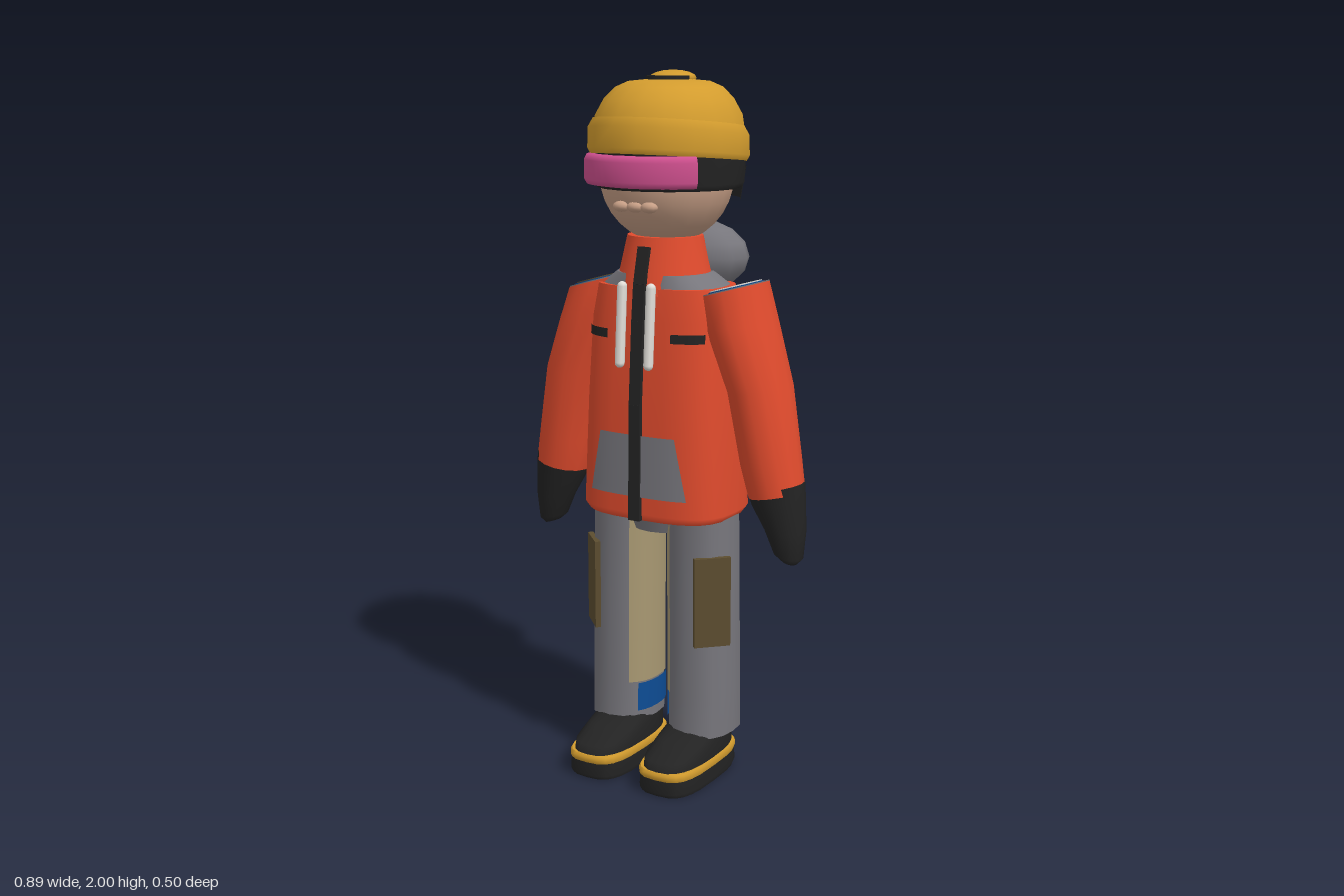
import * as THREE from 'three';

const mat = (name, color) => Object.assign(new THREE.MeshStandardMaterial({ color }), { name });

// Stacks elliptical rings, listed upward: { y, cx, cz, rx, rz, kx, kz } (kx, kz tilt the ring).
// e < 1 makes the outline boxier; arc = [start, length] makes an open patch.
function loft(rings, { n = 16, e = 1, arc = null } = {}) {
  const pos = [], idx = [];
  const cols = arc ? n + 1 : n;
  const pw = (v) => Math.sign(v) * Math.abs(v) ** e;
  const addRing = ({ y, cx = 0, cz = 0, rx, rz = rx, kx = 0, kz = 0 }) => {
    const first = pos.length / 3;
    for (let i = 0; i < cols; i++) {
      const a = arc ? arc[0] + (arc[1] * i) / n : (i / n) * Math.PI * 2;
      const dx = rx * pw(Math.cos(a)), dz = rz * pw(Math.sin(a));
      pos.push(cx + dx, y + kx * dx + kz * dz, cz + dz);
    }
    return first;
  };
  const starts = rings.map(addRing);
  for (let r = 0; r < starts.length - 1; r++) {
    for (let i = 0; i < n; i++) {
      const j = (i + 1) % cols, a = starts[r], b = starts[r + 1];
      idx.push(a + i, b + i, a + j, a + j, b + i, b + j);
    }
  }
  // Flat ends with their own vertices, so the rims stay sharp
  if (!arc) {
    for (const [ring, up] of [[rings[0], false], [rings.at(-1), true]]) {
      const s = addRing(ring), c = s + n;
      pos.push(ring.cx ?? 0, ring.y, ring.cz ?? 0);
      for (let i = 0; i < n; i++) {
        const j = (i + 1) % n;
        idx.push(c, up ? s + j : s + i, up ? s + i : s + j);
      }
    }
  }
  const g = new THREE.BufferGeometry();
  g.setAttribute('position', new THREE.Float32BufferAttribute(pos, 3));
  g.setIndex(idx);
  g.computeVertexNormals();
  return g;
}

const ring = (y, rx, rz, cx = 0, cz = 0, kx = 0, kz = 0) => ({ y, rx, rz, cx, cz, kx, kz });

const JACKET_E = 0.65;
const jacketRings = [
  ring(0.77, 0.215, 0.155, 0, -0.005), ring(0.79, 0.23, 0.164, 0, -0.005),
  ring(1.1, 0.215, 0.16, 0, -0.006), ring(1.33, 0.205, 0.15, 0, -0.012), ring(1.42, 0.19, 0.132, 0, -0.008),
];

// Depth of the jacket front at a given x and y
function jacketFront(x, y) {
  let i = 1;
  while (i < jacketRings.length - 2 && y > jacketRings[i + 1].y) i++;
  const a = jacketRings[i], b = jacketRings[i + 1];
  const t = THREE.MathUtils.clamp((y - a.y) / (b.y - a.y), 0, 1);
  const mix = (k) => THREE.MathUtils.lerp(a[k], b[k], t);
  const u = Math.min(1, Math.abs(x) / mix('rx'));
  return mix('cz') + mix('rz') * (1 - u ** (2 / JACKET_E)) ** (JACKET_E / 2);
}

// Thin patch that follows the jacket front; its half width goes from wBottom to wTop
function jacketPatch(cx, wBottom, wTop, y0, y1) {
  const g = new THREE.PlaneGeometry(2, 1, 14, 8);
  const p = g.attributes.position;
  for (let i = 0; i < p.count; i++) {
    const t = p.getY(i) + 0.5;
    const x = cx + p.getX(i) * THREE.MathUtils.lerp(wBottom, wTop, t);
    const y = THREE.MathUtils.lerp(y0, y1, t);
    p.setXYZ(i, x, y, jacketFront(x, y) + 0.006);
  }
  g.computeVertexNormals();
  return g;
}

export function createModel() {
  const red = mat('jacketRed', 0xe04b2d), grey = mat('fabricGrey', 0x77767c);
  const black = mat('black', 0x232323), gold = mat('gold', 0xd39c2e);
  const pink = mat('lensPink', 0xd0508f), skin = mat('skin', 0xc79f86);
  const white = mat('white', 0xe2dfd9), olive = mat('olive', 0x5c4d30);
  const tan = mat('tan', 0xa89872), blue = mat('blue', 0x0d4c94);
  for (const m of [red, grey, black, pink, tan, blue, white, olive]) m.side = THREE.DoubleSide;

  const model = new THREE.Group();
  model.name = 'skier';
  const add = (name, geo, material, x = 0, y = 0, z = 0) => {
    const m = new THREE.Mesh(geo, material);
    m.name = name;
    m.position.set(x, y, z);
    model.add(m);
    return m;
  };
  const ball = (name, material, x, y, z, rx, ry, rz, w = 16, h = 12) => {
    const m = add(name, new THREE.SphereGeometry(1, w, h), material, x, y, z);
    m.scale.set(rx, ry, rz);
    return m;
  };
  // Bar between two points
  const bar = (name, material, a, b, w, d) => {
    const p = new THREE.Vector3(...a), q = new THREE.Vector3(...b);
    const m = add(name, new THREE.BoxGeometry(w, p.distanceTo(q), d), material);
    m.position.copy(p).lerp(q, 0.5);
    m.quaternion.setFromUnitVectors(new THREE.Vector3(0, 1, 0), q.sub(p).normalize());
    return m;
  };

  // Head and mouth
  ball('head', skin, 0, 1.72, -0.01, 0.188, 0.19, 0.185, 20, 16);
  for (const x of [-0.044, 0, 0.044]) ball('mouth', skin, x, 1.642, 0.155, 0.026, 0.015, 0.018, 10, 8);

  // Helmet
  const hz = -0.02;
  add('helmetLiner', loft([ring(1.685, 0.2, 0.195, 0, hz), ring(1.7, 0.21, 0.208, 0, hz), ring(1.8, 0.214, 0.222, 0, hz)], { n: 18 }), black);
  add('helmetNape', loft([ring(1.65, 0.19, 0.222, 0, hz), ring(1.74, 0.208, 0.228, 0, hz)], { n: 14, arc: [Math.PI * 1.13, Math.PI * 0.74] }), black);
  add('helmetBand', loft([
    ring(1.765, 0.214, 0.226, 0, hz, 0, 0.09), ring(1.78, 0.222, 0.234, 0, hz, 0, 0.09),
    ring(1.835, 0.22, 0.232, 0, hz, 0, 0.1), ring(1.86, 0.206, 0.218, 0, hz, 0, 0.1),
  ], { n: 18 }), gold);
  add('helmetDome', loft([
    ring(1.83, 0.208, 0.222, 0, hz), ring(1.88, 0.2, 0.214, 0, hz), ring(1.925, 0.175, 0.188, 0, hz),
    ring(1.955, 0.145, 0.155, 0, hz), ring(1.97, 0.11, 0.12, 0, hz), ring(1.976, 0.05, 0.05, 0, hz),
  ], { n: 18 }), gold);
  add('topVent', new THREE.CylinderGeometry(0.062, 0.064, 0.02, 12), black, 0, 1.975, -0.017);
  ball('topButton', gold, 0, 1.978, -0.04, 0.065, 0.022, 0.065, 10, 8);

  // Goggles: a wrapped lens with rounded rims
  const lens = [[0.2, 1.692], [0.228, 1.696], [0.236, 1.71], [0.236, 1.762], [0.228, 1.778], [0.2, 1.782]];
  add('goggleLens', new THREE.LatheGeometry(lens.map((p) => new THREE.Vector2(...p)), 16, -0.87, 1.74), pink, 0, 0, hz);

  // Jacket body, shoulder yoke, collar and hood
  add('jacket', loft(jacketRings, { n: 28, e: JACKET_E }), red);
  add('shoulderYoke', loft([ring(1.415, 0.188, 0.13, 0, -0.008), ring(1.455, 0.13, 0.118)], { n: 24, e: 0.8 }), grey);
  add('collar', loft([ring(1.4, 0.15, 0.135, 0, 0), ring(1.46, 0.128, 0.125), ring(1.555, 0.108, 0.1)], { n: 20 }), red);
  ball('hood', grey, 0, 1.485, -0.135, 0.185, 0.108, 0.108, 14, 8);

  // Jacket front details
  add('frontPocket', jacketPatch(0, 0.155, 0.12, 0.84, 1.015), grey);
  const zip = [[0.772, 0.163], [1.1, 0.157], [1.33, 0.142], [1.43, 0.132], [1.53, 0.108]];
  for (let i = 0; i < zip.length - 1; i++) {
    bar('zipper', black, [0, ...zip[i]], [0, ...zip[i + 1]], 0.036, 0.016);
  }

  for (const s of [1, -1]) {
    add('chestPocket', jacketPatch(s * 0.143, 0.042, 0.042, 1.277, 1.302), black);
    const cord = add('drawstring', new THREE.CapsuleGeometry(0.014, 0.21, 4, 8), white, s * 0.046, 1.32, 0.158);
    cord.rotation.x = -0.07;

    // Sleeve; both open tops lean the same way
    const topRing = ring(1.415, 0.104, 0.1, s * 0.207, -0.008, 0.28);
    add('sleeve', loft([
      ring(0.86, 0.078, 0.078, s * 0.357, -0.005, s * 0.2), ring(0.95, 0.083, 0.09, s * 0.337, -0.006, s * 0.2),
      ring(1.15, 0.086, 0.108, s * 0.3, -0.008, s * 0.15), ring(1.32, 0.096, 0.118, s * 0.24, -0.01, 0.15), topRing,
    ], { n: 14 }), red);
    const cap = (name, dy, k, m) => add(name, loft([
      { ...topRing, y: 1.415 + dy, rx: 0.104 * k, rz: 0.1 * k },
      { ...topRing, y: 1.418 + dy, rx: 0.104 * k, rz: 0.1 * k }], { n: 14 }), m);
    cap('shoulderTop', 0, 0.99, grey);
    cap('shoulderTrim', 0.003, 0.84, blue);
    cap('shoulderPatch', 0.006, 0.79, s > 0 ? white : olive);

    // Mitten
    add('mitten', loft([
      ring(0.672, 0.022, 0.025, s * 0.398, -0.005, -s * 0.3), ring(0.69, 0.042, 0.042, s * 0.395, -0.005, -s * 0.2),
      ring(0.76, 0.058, 0.058, s * 0.385, -0.005), ring(0.84, 0.075, 0.073, s * 0.363, -0.005, s * 0.2),
      ring(0.882, 0.08, 0.079, s * 0.354, -0.005, s * 0.2),
    ], { n: 14 }), black);

    // Trouser leg with tan inner panel, ankle accent and thigh pocket
    add('trouserLeg', loft([
      ring(0.13, 0.096, 0.112, s * 0.13, -0.008), ring(0.25, 0.097, 0.108, s * 0.13, -0.006),
      ring(0.5, 0.096, 0.106, s * 0.128, -0.006), ring(0.79, 0.094, 0.105, s * 0.125, -0.006),
    ], { n: 16, e: 0.85 }), grey);
    const inner = s > 0 ? Math.PI : 0;
    add('innerLegPanel', loft([
      ring(0.25, 0.101, 0.112, s * 0.13, -0.006), ring(0.5, 0.1, 0.11, s * 0.128, -0.006),
      ring(0.77, 0.098, 0.109, s * 0.125, -0.006),
    ], { n: 8, e: 0.85, arc: [inner - 1, 2] }), tan);
    add('ankleAccent', loft([ring(0.16, 0.1, 0.115, s * 0.13, -0.007), ring(0.245, 0.101, 0.112, s * 0.13, -0.006)],
      { n: 6, e: 0.85, arc: [inner - 0.7, 1.4] }), blue);
    const pocket = add('thighPocket', new THREE.BoxGeometry(0.105, 0.26, 0.016), olive, s * 0.198, 0.54, 0.074);
    pocket.rotation.y = s * Math.PI / 4;

    // Boot and layered sole
    const layer = (y, k) => ring(y, 0.092 * k, 0.183 * k, s * 0.118, 0.068);
    const boxy = { n: 24, e: 0.62 };
    add('outsole', loft([layer(0, 0.95), layer(0.012, 0.99), layer(0.05, 0.98)], boxy), black);
    add('midsole', loft([layer(0.049, 0.98), layer(0.056, 1), layer(0.066, 1), layer(0.072, 0.97)], boxy), gold);
    add('boot', loft([
      ring(0.07, 0.086, 0.178, s * 0.118, 0.066), ring(0.095, 0.086, 0.172, s * 0.118, 0.062),
      ring(0.125, 0.082, 0.13, s * 0.118, 0.025), ring(0.145, 0.078, 0.1, s * 0.118, -0.004),
      ring(0.17, 0.074, 0.09, s * 0.12, -0.01),
    ], { n: 24, e: 0.75 }), black);
  }

  // Hips under the jacket hem
  add('hips', loft([ring(0.72, 0.1, 0.09), ring(0.79, 0.14, 0.11)], { n: 16 }), grey);
  return model;
}
